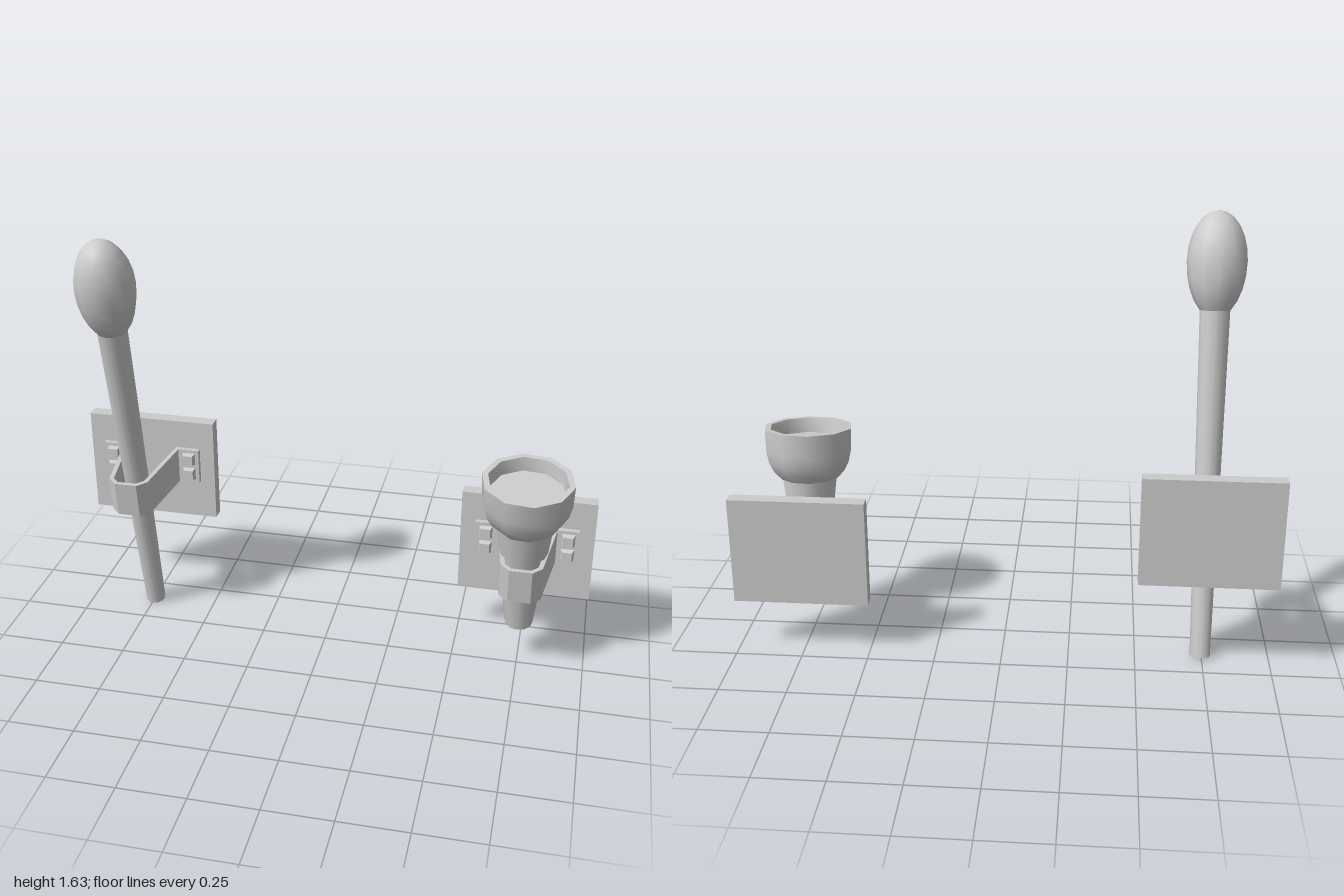
import * as THREE from 'three';
import { toCreasedNormals } from 'three/addons/utils/BufferGeometryUtils.js';

const grey = new THREE.MeshStandardMaterial({ color: 0xcccccc });

function part(name, geometry, parent) {
  const mesh = new THREE.Mesh(geometry, grey);
  mesh.name = name;
  parent.add(mesh);
  return mesh;
}

// Turned shape from [radius, height] pairs, listed bottom to top
function turned(points, sides) {
  const profile = points.map(([r, y]) => new THREE.Vector2(r, y));
  return toCreasedNormals(new THREE.LatheGeometry(profile, sides), 0.7);
}

// Bent metal strap: outline seen from above, extruded upwards, then leaned
function strapGeometry() {
  const outer = [[0.195, 0.02], [0.113, 0.02], [0.076, 0.275], [0.042, 0.308]];
  const inner = [[0.195, 0], [0.098, 0], [0.06, 0.268], [0.036, 0.292]];
  const mirror = (pts) => pts.map(([x, z]) => [-x, z]).reverse();
  const outline = [...outer, ...mirror(outer), ...mirror(inner).reverse(), ...inner.slice().reverse()];
  const shape = new THREE.Shape(outline.map(([x, z]) => new THREE.Vector2(x, -z)));
  const geo = new THREE.ExtrudeGeometry(shape, { depth: 0.14, bevelEnabled: false });
  geo.rotateX(-Math.PI / 2);
  geo.translate(0, -0.07, 0);
  // The front hangs a little lower and follows the lean of the torch
  const p = geo.attributes.position;
  for (let i = 0; i < p.count; i++) {
    const t = Math.max(0, p.getZ(i) - 0.02) / 0.29;
    const y = p.getY(i);
    p.setY(i, y - 0.018 * t);
    p.setZ(i, p.getZ(i) + 0.14 * y * t);
  }
  geo.computeVertexNormals();
  return geo;
}

// Wall plate with strap and four bolts; z is the front face of the plate
function bracket(x, y, z) {
  const group = new THREE.Group();
  group.name = 'wallBracket';
  group.position.set(x, y, z);
  part('wallPlate', new THREE.BoxGeometry(0.505, 0.413, 0.052), group).position.z = -0.026;
  part('strap', strapGeometry(), group).position.y = 0.024;
  const bolt = new THREE.CylinderGeometry(0.026, 0.036, 0.018, 4).toNonIndexed();
  bolt.computeVertexNormals();
  bolt.rotateY(Math.PI / 4);
  bolt.rotateX(Math.PI / 2);
  for (const sx of [-1, 1]) {
    for (const by of [-0.008, 0.056]) {
      part('bolt', bolt, group).position.set(sx * 0.155, by, 0.028);
    }
  }
  return group;
}

export function createModel() {
  const model = new THREE.Group();
  model.name = 'wallTorches';

  // Torch with a long stick and an egg-shaped head
  const longTorch = new THREE.Group();
  longTorch.name = 'longTorch';
  longTorch.position.set(-0.745, 0.013, -0.135);
  longTorch.rotation.x = 0.194;
  model.add(longTorch);
  part('stick', turned([[0, 0], [0.038, 0], [0.055, 1.34], [0, 1.34]], 12), longTorch);
  const egg = [];
  for (let i = 0; i <= 10; i++) {
    const a = -1.03 + (i / 10) * (1.03 + Math.PI / 2);
    egg.push([Math.max(0, 0.108 * Math.cos(a)), 1.47 + (a < 0 ? 0.202 : 0.18) * Math.sin(a)]);
  }
  part('torchHead', turned([[0, egg[0][1]], ...egg], 12), longTorch);
  model.add(bracket(-0.75, 0.578, -0.222));

  // Torch with a tapered handle and an open cup
  const cupTorch = new THREE.Group();
  cupTorch.name = 'cupTorch';
  cupTorch.position.set(0.745, 0.17, -0.038);
  cupTorch.rotation.x = 0.135;
  model.add(cupTorch);
  part('handle', turned([[0, 0], [0.053, 0], [0.104, 0.47], [0, 0.47]], 12), cupTorch);
  const cup = turned([
    [0, 0.46], [0.108, 0.46], [0.136, 0.49], [0.154, 0.525], [0.164, 0.57],
    [0.167, 0.655], [0.145, 0.655], [0.138, 0.6], [0, 0.6],
  ], 10);
  part('cup', cup, cupTorch).rotation.y = 0.2;
  model.add(bracket(0.747, 0.422, -0.17));

  return model;
}
